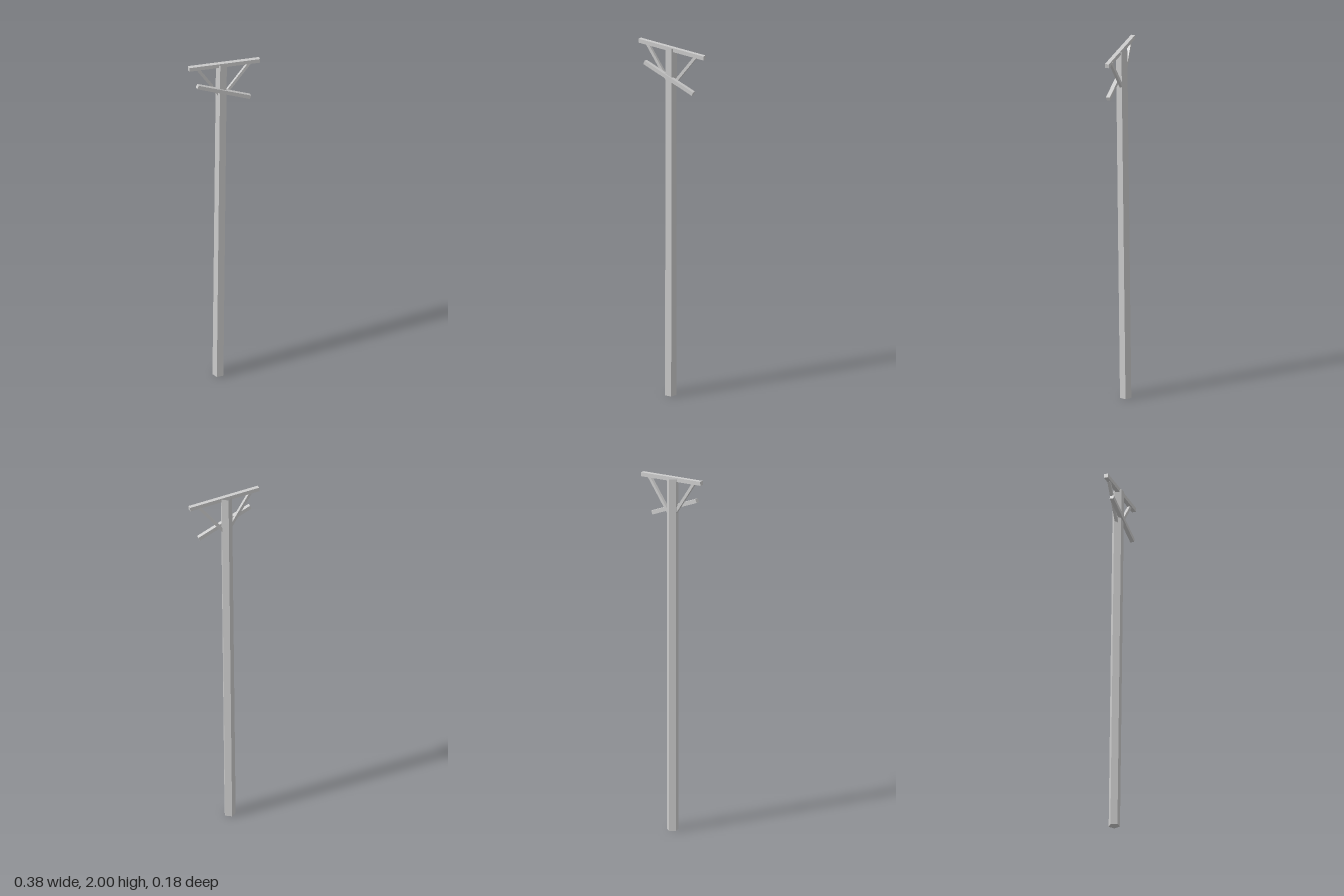
import * as THREE from 'three';

const material = new THREE.MeshStandardMaterial({ color: 0xcccccc, flatShading: true });

// Square timber running between two points, with its sides kept level
function beam(name, from, to, size) {
  const a = new THREE.Vector3(...from);
  const b = new THREE.Vector3(...to);
  const along = b.clone().sub(a);
  const mesh = new THREE.Mesh(new THREE.BoxGeometry(along.length(), size, size), material);
  along.normalize();
  const side = along.clone().cross(new THREE.Vector3(0, 1, 0)).normalize();
  const up = side.clone().cross(along);
  mesh.quaternion.setFromRotationMatrix(new THREE.Matrix4().makeBasis(along, up, side));
  mesh.position.copy(a).add(b).multiplyScalar(0.5);
  mesh.name = name;
  return mesh;
}

// Five-sided leaning pole, hollow at the top, with a closed foot
function makePole() {
  const height = 1.98, radius = 0.032, sides = 5;
  const pole = new THREE.Group();
  pole.name = 'pole';

  const shaftGeometry = new THREE.CylinderGeometry(radius, radius, height, sides, 1, true);
  shaftGeometry.rotateY(THREE.MathUtils.degToRad(86 - 72));
  shaftGeometry.translate(0, height / 2, 0);

  const footGeometry = new THREE.CircleGeometry(radius, sides);
  footGeometry.rotateX(Math.PI / 2);
  footGeometry.rotateY(THREE.MathUtils.degToRad(-4));

  // Shear along the height gives the lean while the ends stay level
  const lean = new THREE.Matrix4().set(
    1, 0.005 / height, 0, -0.012,
    0, 1, 0, 0,
    0, 0.022 / height, 1, -0.0326,
    0, 0, 0, 1
  );
  for (const [name, geometry] of [['poleShaft', shaftGeometry], ['poleFoot', footGeometry]]) {
    geometry.applyMatrix4(lean);
    const mesh = new THREE.Mesh(geometry, material);
    mesh.name = name;
    pole.add(mesh);
  }
  return pole;
}

export function createModel() {
  const model = new THREE.Group();
  model.name = 'utilityPole';
  model.add(
    makePole(),
    // Crossarms: the upper one nearly level, the lower one slipped askew
    beam('upperCrossarm', [-0.186, 1.988, -0.079], [0.186, 1.958, 0.076], 0.0225),
    beam('lowerCrossarm', [-0.153, 1.877, -0.047], [0.125, 1.749, 0.067], 0.0215),
    // Diagonal braces from the upper crossarm down to the pole
    beam('rightBrace', [-0.138, 1.975, -0.061], [-0.016, 1.775, -0.016], 0.016),
    beam('leftBrace', [0.138, 1.955, 0.052], [0.012, 1.778, -0.009], 0.016)
  );
  return model;
}
